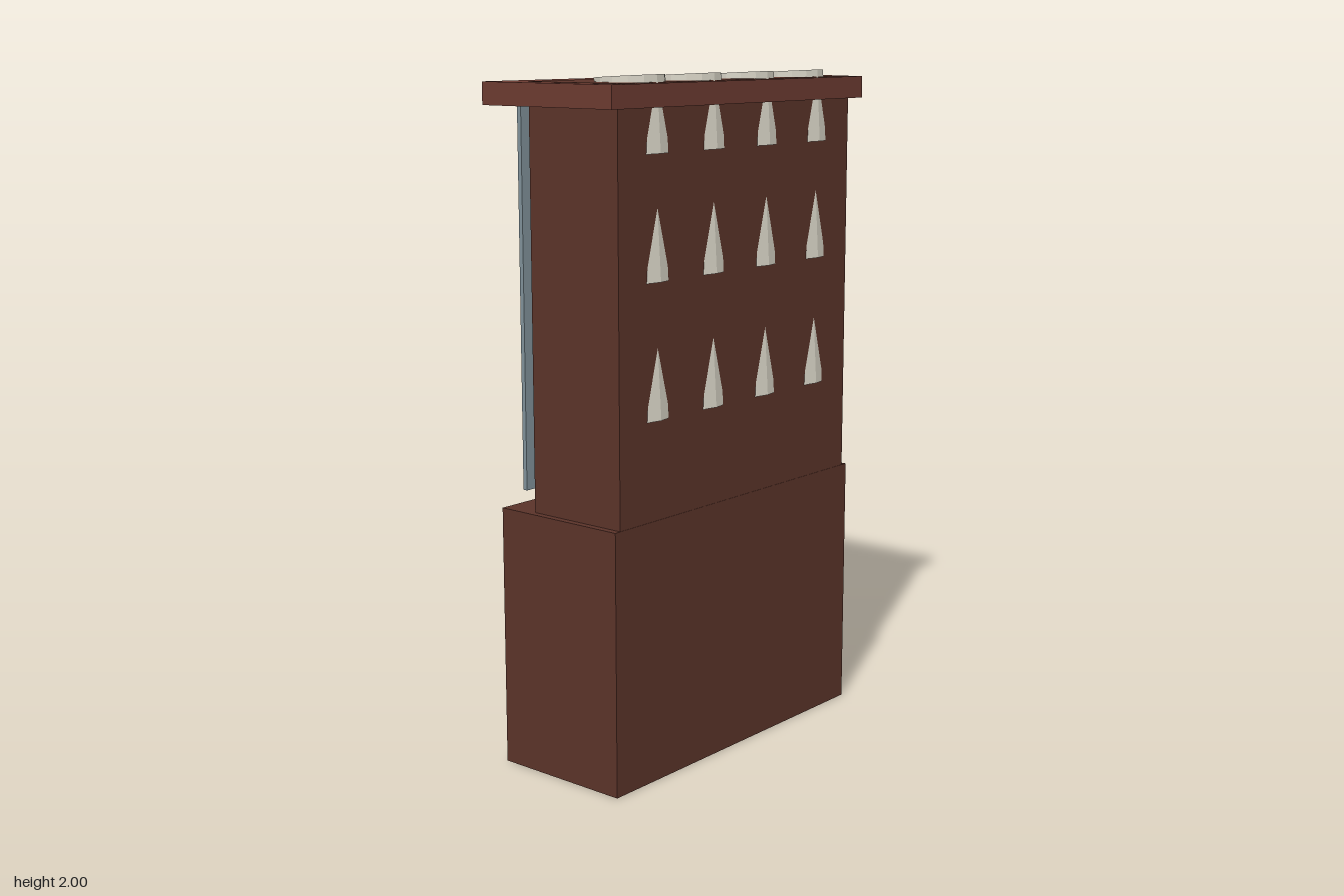
import * as THREE from 'three';

export function createModel() {
  const group = new THREE.Group();
  const mat = (color) => new THREE.MeshStandardMaterial({ color, flatShading: true });
  const wood = mat(0x5a3329);
  const crownWood = mat(0x6b3a30);
  const doorWood = mat(0x5e3629);
  const glass = mat(0x7f9098);
  const brass = mat(0xb59a4c);
  const china = mat(0xd6d2c4);

  // Box given by its [min, max] extent on each axis
  function box(name, x, y, z, material) {
    const geo = new THREE.BoxGeometry(x[1] - x[0], y[1] - y[0], z[1] - z[0]);
    const mesh = new THREE.Mesh(geo, material);
    mesh.name = name;
    mesh.position.set((x[0] + x[1]) / 2, (y[0] + y[1]) / 2, (z[0] + z[1]) / 2);
    group.add(mesh);
  }

  // Carcass: lower cupboard, upper hutch (shows flush in the cornice top), cornice
  box('lowerCabinet', [-0.545, 0.545], [0, 0.77], [-0.21, 0.224], wood);
  box('upperCabinet', [-0.524, 0.524], [0.77, 1.978], [-0.1, 0.223], wood);
  box('cornice', [-0.568, 0.568], [1.912, 1.976], [-0.235, 0.243], crownWood);

  // Paired doors, handles and glass panes, mirrored about x = 0
  for (const s of [-1, 1]) {
    const span = (a, b) => (s > 0 ? [a, b] : [-b, -a]);
    box('cupboardDoor', span(0.032, 0.513), [0.115, 0.722], [-0.22, -0.208], doorWood);
    box('doorHandle', span(0.044, 0.065), [0.467, 0.528], [-0.244, -0.22], brass);
    box('glassPane', span(0.01, 0.491), [0.818, 1.912], [-0.178, -0.164], glass);
  }

  // Leaning crockery on three levels, showing through the back and the top
  const potGeo = new THREE.CylinderGeometry(0.098, 0.098, 0.21, 14);
  for (const y of [1.155, 1.54, 1.888]) {
    for (const x of [-0.364, -0.121, 0.121, 0.364]) {
      const pot = new THREE.Mesh(potGeo, china);
      pot.name = 'crockery';
      pot.position.set(x, y, 0.131);
      pot.rotation.x = -0.06;
      group.add(pot);
    }
  }
  return group;
}
